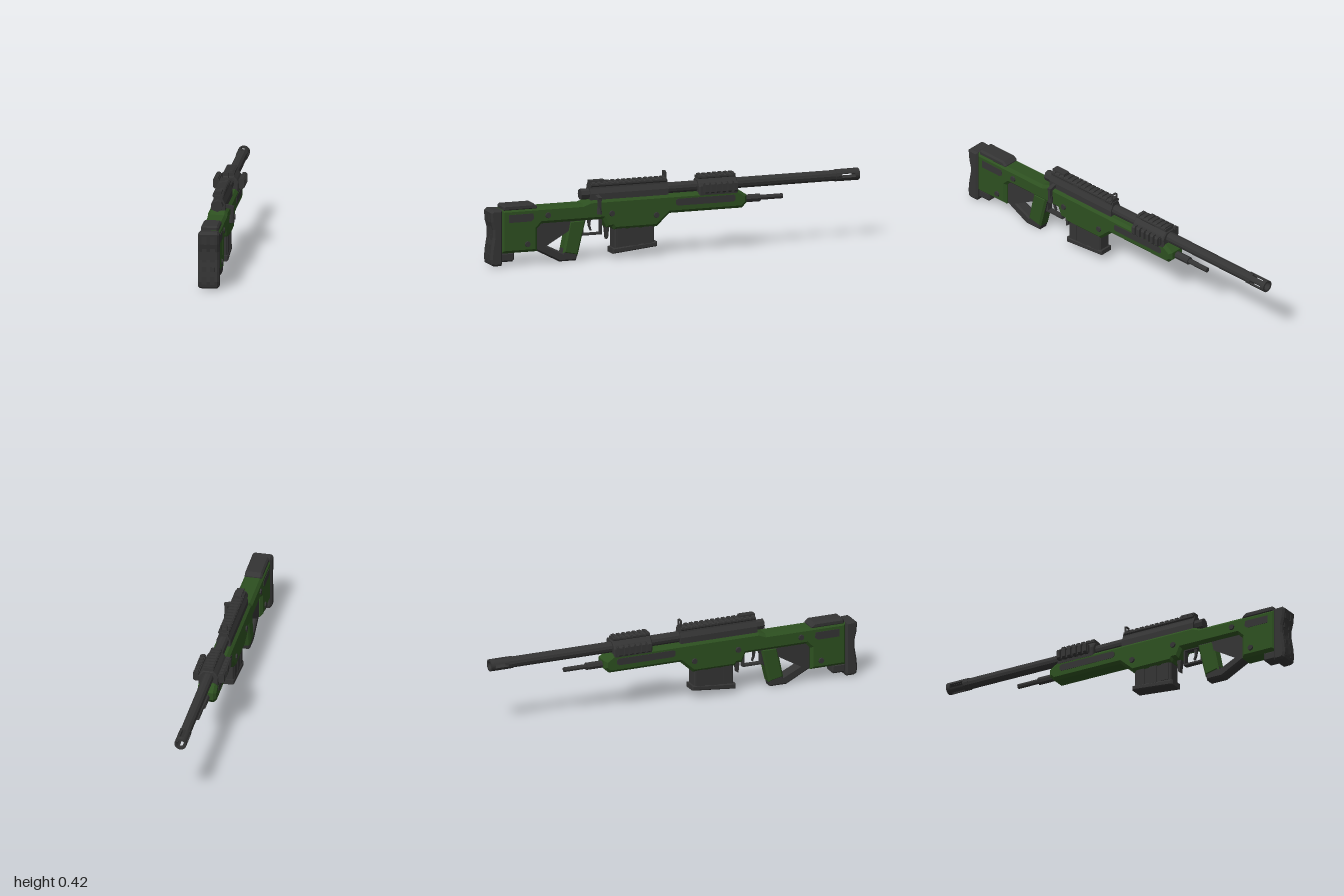
import * as THREE from 'three';

const green = new THREE.MeshStandardMaterial({ color: 0x2d5020, flatShading: true });
green.name = 'olive green';
const dark = new THREE.MeshStandardMaterial({ color: 0x343434, flatShading: true });
dark.name = 'dark grey';

export function createModel() {
  const root = new THREE.Group();
  root.name = 'rifle';

  const add = (name, geo, mat, x = 0, y = 0, z = 0) => {
    const m = new THREE.Mesh(geo, mat);
    m.name = name;
    m.position.set(x, y, z);
    root.add(m);
    return m;
  };
  const box = (name, mat, w, h, d, x, y, z) => add(name, new THREE.BoxGeometry(w, h, d), mat, x, y, z);
  const toShape = (pts, holes = []) => {
    const s = new THREE.Shape(pts.map(p => new THREE.Vector2(...p)));
    holes.forEach(h => s.holes.push(new THREE.Path(h.map(p => new THREE.Vector2(...p)))));
    return s;
  };
  const extrude = (shape, depth, bevel) => new THREE.ExtrudeGeometry(shape, {
    depth: depth - 2 * bevel, bevelEnabled: bevel > 0, bevelSize: bevel,
    bevelThickness: bevel, bevelOffset: -bevel, bevelSegments: 1, curveSegments: 4,
  }).translate(0, 0, bevel - depth / 2);
  // Side profile of (z, y) points, extruded across the width
  const side = (name, mat, pts, width, bevel = 0, holes, x = 0) =>
    add(name, extrude(toShape(pts, holes), width, bevel).rotateY(-Math.PI / 2), mat, x);
  // Cross-section of (x, y) points, extruded from z0 to z1
  const along = (name, mat, pts, z0, z1, bevel = 0) =>
    add(name, extrude(toShape(pts), z1 - z0, bevel), mat, 0, 0, (z0 + z1) / 2);
  const mirror = half => [...half, ...half.slice().reverse().map(([x, y]) => [-x, y])];
  const rod = (name, r, z0, z1, y, seg = 12) =>
    add(name, new THREE.CylinderGeometry(r, r, z1 - z0, seg).rotateX(Math.PI / 2), dark, 0, y, (z0 + z1) / 2);

  // Chassis: stock, receiver bed and fore-end in one piece
  side('chassis', green, [
    [0.94, 0.29], [0.5, 0.29], [0.46, 0.305], [-0.34, 0.305], [-0.385, 0.275], [-0.385, 0.235],
    [-0.36, 0.21], [0.03, 0.21], [0.1, 0.147], [0.33, 0.147], [0.34, 0.16], [0.37, 0.16],
    [0.39, 0.205], [0.72, 0.205], [0.745, 0.18], [0.745, 0.065], [0.94, 0.065],
  ], 0.098, 0.014);

  // Butt pad with two columns of raised panels
  side('buttPad', dark, [
    [0.935, 0.29], [0.985, 0.292], [1, 0.28], [0.995, 0.23], [0.985, 0.19], [0.985, 0.15],
    [0.995, 0.09], [1, 0.04], [0.995, 0.012], [0.98, 0.004], [0.94, 0.004], [0.935, 0.02],
  ], 0.107, 0.01);
  [[0.25, 0.04, 0.996], [0.198, 0.03, 0.986], [0.15, 0.03, 0.984], [0.1, 0.03, 0.992], [0.046, 0.04, 0.997]]
    .forEach(([y, h, z]) => [-0.022, 0.02].forEach(x =>
      box('buttPadPanel', dark, 0.024, h, 0.006, x, y, z)));
  side('buttHook', dark, [[0.94, 0.068], [0.865, 0.068], [0.865, 0.03], [0.875, 0.02], [0.94, 0.02]], 0.07, 0.008);

  // Cheek rest
  side('cheekRest', dark, [
    [0.93, 0.28], [0.93, 0.304], [0.92, 0.312], [0.765, 0.312], [0.745, 0.295], [0.745, 0.28],
  ], 0.09, 0.009);

  // Thumbhole frame and grip
  side('gripFrame', dark, [
    [0.75, 0.212], [0.75, 0.068], [0.62, 0.001], [0.53, 0.001], [0.475, 0.212],
  ], 0.062, 0.008, [[[0.69, 0.198], [0.565, 0.198], [0.602, 0.045], [0.69, 0.088]]]);
  side('grip', green, [[0.567, 0.208], [0.478, 0.208], [0.522, 0.025], [0.602, 0.042]], 0.07, 0.01);

  // Trigger, guard and magazine catch
  side('triggerGuard', dark, [[0.495, 0.21], [0.385, 0.21], [0.385, 0.122], [0.5, 0.122]], 0.03, 0,
    [[[0.485, 0.2], [0.394, 0.2], [0.394, 0.131], [0.485, 0.131]]]);
  side('trigger', dark, [[0.46, 0.21], [0.44, 0.21], [0.446, 0.17], [0.438, 0.145], [0.445, 0.143], [0.456, 0.17]], 0.012);
  side('magazineCatch', dark, [[0.37, 0.165], [0.345, 0.165], [0.352, 0.1], [0.362, 0.095]], 0.025);

  // Magazine with base and side ribs
  side('magazine', dark, [[0.325, 0.17], [0.11, 0.17], [0.11, 0.045], [0.325, 0.025]], 0.07, 0.006);
  side('magazineBase', dark, [[0.336, 0.05], [0.098, 0.07], [0.098, 0.045], [0.336, 0.022]], 0.08, 0.005);
  [-1, 1].forEach(s => [0.145, 0.22, 0.29].forEach(z =>
    box('magazineRib', dark, 0.004, 0.095, 0.045, s * 0.036, 0.105, z)));

  // Inlaid panels and screws on both sides
  [-1, 1].forEach(s => {
    side('foreEndPanel', dark, [
      [0, 0.275], [-0.01, 0.282], [-0.31, 0.282], [-0.32, 0.275], [-0.32, 0.255], [-0.31, 0.247], [-0.01, 0.247], [0, 0.255],
    ], 0.006, 0, [], s * 0.048);
    side('stockPanel', dark, [[0.9, 0.262], [0.77, 0.262], [0.765, 0.235], [0.782, 0.222], [0.9, 0.222]], 0.006, 0, [], s * 0.048);
    [[0.69, 0.247], [0.8, 0.107], [0.345, 0.232], [0.105, 0.207]].forEach(([z, y]) =>
      add('screw', new THREE.CylinderGeometry(0.014, 0.016, 0.008, 8).rotateZ(-s * Math.PI / 2), dark, s * 0.052, y, z));
  });

  // Receiver and bolt shroud
  along('receiver', dark, mirror([[0.036, 0.29], [0.036, 0.335], [0.024, 0.36], [0.02, 0.378]]), 0.035, 0.455);
  rod('boltShroud', 0.028, 0.44, 0.5, 0.332, 8);

  // Bolt handle on the left
  const arm = box('boltArm', dark, 0.05, 0.017, 0.02, 0.052, 0.318, 0.42);
  arm.rotation.z = -0.22;
  box('boltShaft', dark, 0.017, 0.052, 0.016, 0.068, 0.292, 0.42);
  add('boltKnob', new THREE.CylinderGeometry(0.011, 0.014, 0.038, 8), dark, 0.066, 0.256, 0.42);

  // Toothed rails: a bar with evenly spaced teeth
  const rail = (name, z0, z1, count) => {
    along(name, dark, mirror([[0.02, 0.365], [0.028, 0.374], [0.028, 0.382], [0.02, 0.386]]), z0, z1);
    const pitch = (z1 - z0) / count;
    for (let i = 0; i < count; i++) {
      const z = z0 + pitch * (i + 0.5);
      along(name + 'Tooth', dark, mirror([[0.028, 0.378], [0.026, 0.388], [0.02, 0.393]]), z - pitch * 0.28, z + pitch * 0.28);
    }
  };
  rail('topRail', 0.04, 0.45, 14);
  rail('frontRail', -0.33, -0.13, 7);
  box('rearSightBase', dark, 0.036, 0.014, 0.08, 0, 0.393, 0.41);

  // Front handguard block and its side rails
  along('handguard', dark, mirror([[0.05, 0.29], [0.052, 0.335], [0.042, 0.352], [0.026, 0.37]]), -0.335, -0.125, 0.006);
  [-1, 1].forEach(s => {
    box('sideRail', dark, 0.016, 0.04, 0.18, s * 0.058, 0.328, -0.235);
    for (let i = 0; i < 6; i++) {
      const tooth = toShape([[0.054, 0.302], [0.072, 0.302], [0.08, 0.31], [0.08, 0.347], [0.072, 0.355], [0.054, 0.355]]
        .map(([x, y]) => [s * x, y]));
      add('sideRailTooth', extrude(tooth, 0.018, 0), dark, 0, 0, -0.157 - i * 0.031);
    }
  });

  // Folding loop sight
  add('sightLoop', extrude(toShape(
    [[-0.017, 0.385], [0.017, 0.385], [0.017, 0.417], [0.013, 0.422], [-0.013, 0.422], [-0.017, 0.417]],
    [[[-0.013, 0.395], [0.013, 0.395], [0.013, 0.418], [-0.013, 0.418]]]), 0.01, 0), dark, 0, 0, 0.045);

  // Barrel and slotted muzzle brake
  rod('barrel', 0.028, -0.89, 0.05, 0.332);
  rod('brakeCollar', 0.031, -0.905, -0.875, 0.332);
  const ring = new THREE.Shape().absarc(0, 0, 0.031, 0, Math.PI * 2);
  ring.holes.push(new THREE.Path().absarc(0, 0, 0.021, 0, Math.PI * 2, true));
  add('muzzleRing', new THREE.ExtrudeGeometry(ring, { depth: 0.022, bevelEnabled: false, curveSegments: 12 }), dark, 0, 0.332, -1);
  for (let i = 0; i < 4; i++) {
    const a = Math.PI / 4 + i * Math.PI / 2, half = 0.45;
    const strut = new THREE.Shape();
    strut.absarc(0, 0, 0.031, a - half, a + half, false);
    strut.absarc(0, 0, 0.021, a + half, a - half, true);
    add('brakeStrut', new THREE.ExtrudeGeometry(strut, { depth: 0.08, bevelEnabled: false, curveSegments: 3 }), dark, 0, 0.332, -0.982);
  }

  // Stepped bipod spigot under the barrel
  rod('spigotBase', 0.02, -0.47, -0.37, 0.248, 8);
  rod('spigotTip', 0.013, -0.592, -0.46, 0.248, 8);

  return root;
}
